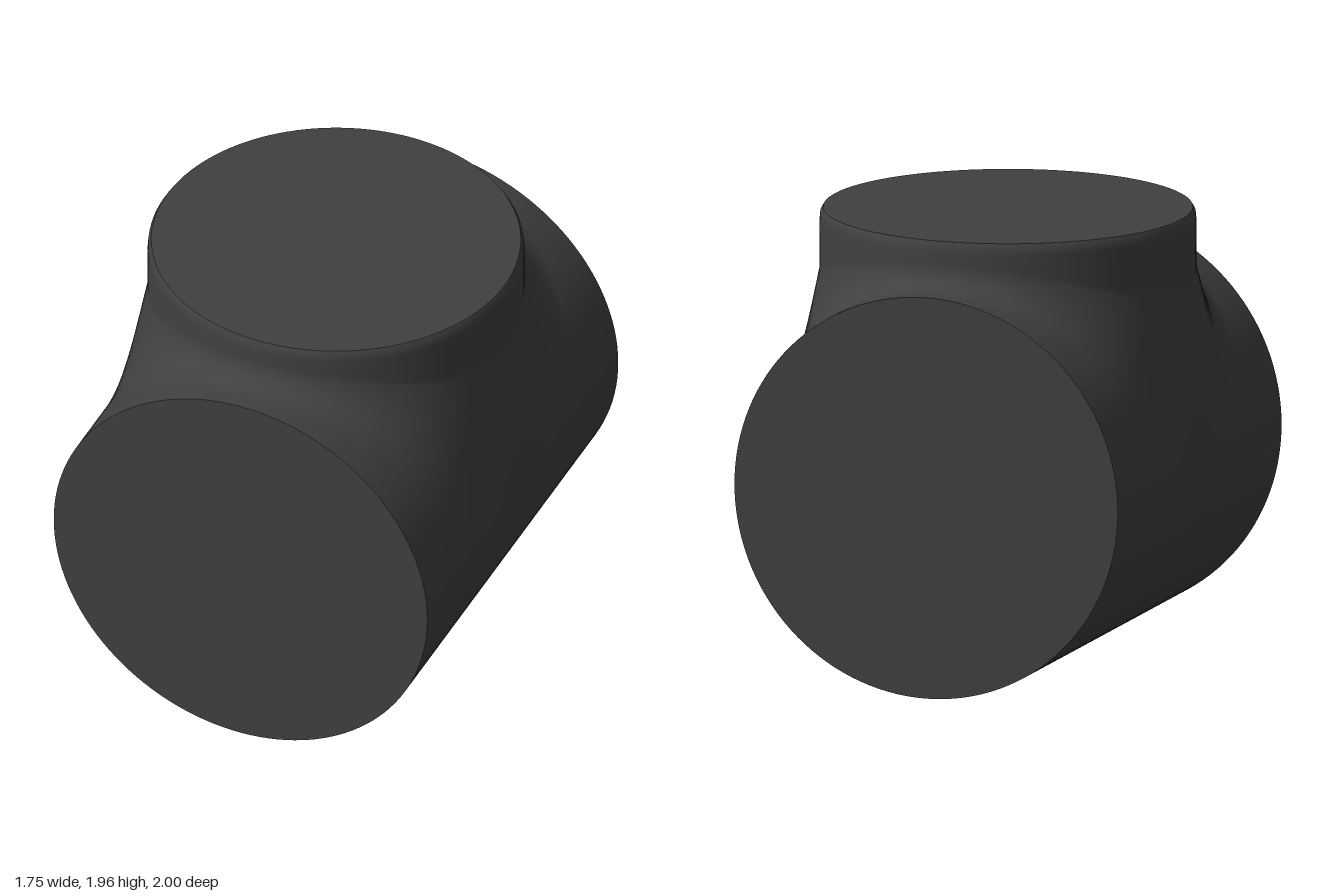
import * as THREE from 'three';

const R = 0.877;      // main pipe radius, also the height of its axis
const r = 0.808;      // branch radius
const TOP = 1.96;     // branch top
const SEG = 128;
const STEPS = 16;

// Filleted branch: for each angle, a curve leaves the pipe tangentially and rises into the branch wall
function branchGeometry() {
  const positions = [], index = [];
  const rows = STEPS + 4;
  for (let i = 0; i < SEG; i++) {
    const t = (i / SEG) * Math.PI * 2;
    const s = Math.sin(t), c = Math.cos(t);
    const phi = s * Math.PI / 2;
    const normal = new THREE.Vector3(Math.sin(phi), Math.cos(phi), 0);
    const foot = new THREE.Vector3(R * normal.x, R + R * normal.y, 0.94 * c);
    const corner = new THREE.Vector3(r * s, R + Math.sqrt(R * R - r * r * s * s), r * c);
    // lift the corner onto the pipe's tangent plane at the foot
    corner.addScaledVector(normal, foot.clone().sub(corner).dot(normal));
    const wall = new THREE.Vector3(r * s, 1.87 - 0.2 * s * s, r * c);
    const points = new THREE.QuadraticBezierCurve3(foot, corner, wall).getPoints(STEPS);
    for (const [radius, y] of [[r - 0.001, 1.91], [r - 0.004, 1.94], [0.792, TOP]]) {
      points.push(new THREE.Vector3(radius * s, y, radius * c));
    }
    for (const p of points) positions.push(p.x, p.y, p.z);
    const n = (i + 1) % SEG;
    for (let j = 0; j < rows - 1; j++) {
      const a = i * rows + j, b = n * rows + j;
      index.push(a, b, b + 1, a, b + 1, a + 1);
    }
  }
  const g = new THREE.BufferGeometry();
  g.setAttribute('position', new THREE.Float32BufferAttribute(positions, 3));
  g.setIndex(index);
  g.computeVertexNormals();
  return g;
}

export function createModel() {
  const group = new THREE.Group();
  group.name = 'pipeTee';
  const material = new THREE.MeshStandardMaterial({ color: 0x404040 });

  const add = (name, geometry) => {
    const mesh = new THREE.Mesh(geometry, material);
    mesh.name = name;
    group.add(mesh);
    return mesh;
  };

  // Main pipe with closed ends
  const pipe = new THREE.CylinderGeometry(R, R, 2, SEG);
  pipe.rotateX(Math.PI / 2);
  add('mainPipe', pipe).position.y = R;

  // Upright branch and its flat cap
  add('branch', branchGeometry());
  const cap = new THREE.CircleGeometry(0.792, SEG);
  cap.rotateX(-Math.PI / 2);
  add('branchCap', cap).position.y = TOP;

  return group;
}
